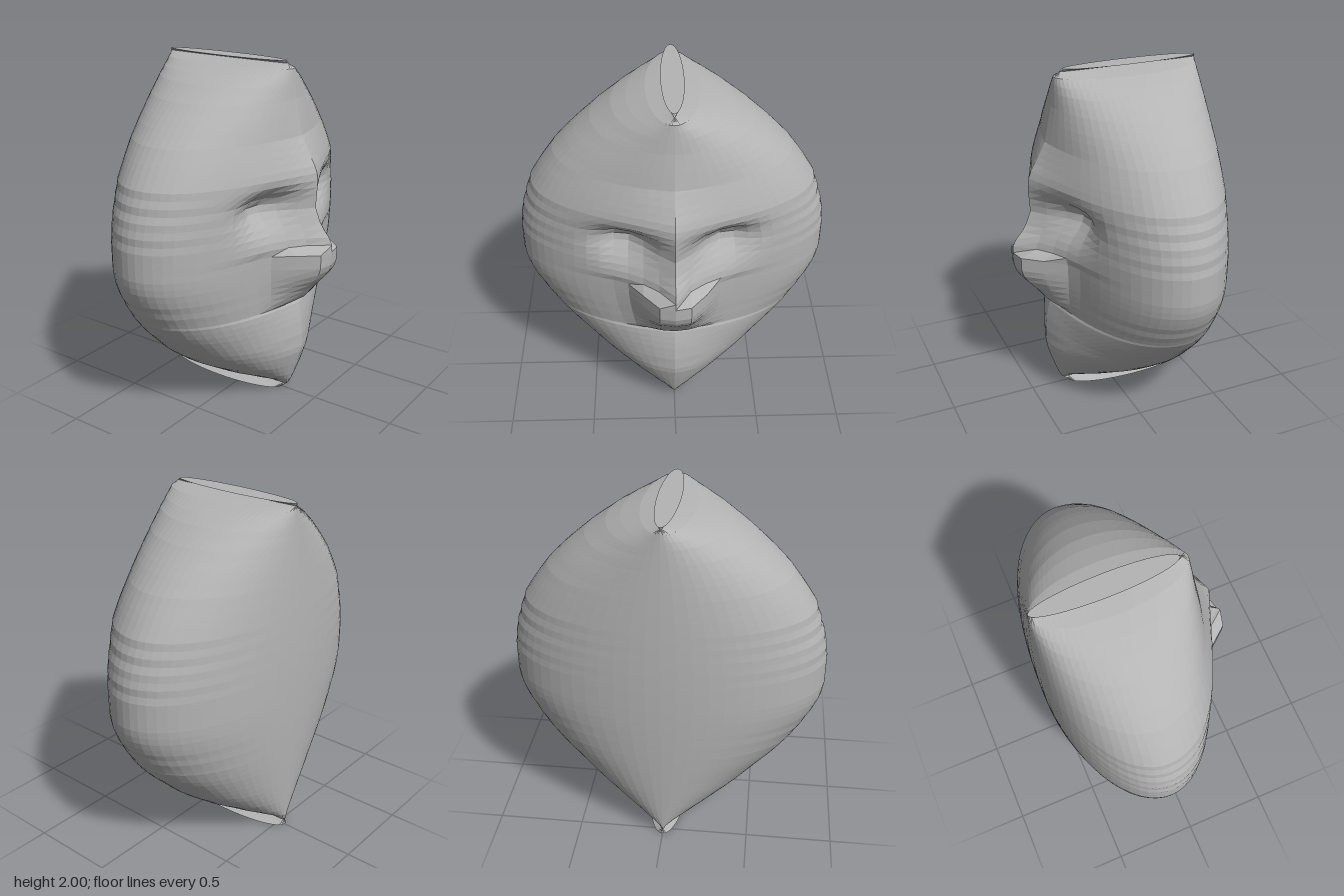
import * as THREE from 'three';

// Profiles as [height, value] pairs, from bottom to top
const WIDTH = [[0, 0.11], [0.03, 0.012], [0.05, 0.06], [0.1, 0.19], [0.2, 0.35], [0.3, 0.48], [0.4, 0.58], [0.5, 0.68],
  [0.6, 0.76], [0.7, 0.82], [0.8, 0.873], [0.9, 0.9], [1.08, 0.9], [1.2, 0.882], [1.3, 0.852], [1.4, 0.82],
  [1.5, 0.755], [1.6, 0.68], [1.7, 0.58], [1.8, 0.46], [1.9, 0.31], [1.96, 0.15], [1.985, 0.012], [2, 0.065]];
const FRONT = [[0, 0.26], [0.04, 0.31], [0.1, 0.335], [0.2, 0.37], [0.3, 0.4], [0.4, 0.4], [0.5, 0.39], [0.595, 0.37], [0.61, 0.36],
  [0.65, 0.42], [0.7, 0.45], [0.8, 0.54], [0.86, 0.58], [0.98, 0.585], [1.02, 0.58], [1.1, 0.51], [1.2, 0.47],
  [1.35, 0.48], [1.42, 0.47], [1.5, 0.42], [1.6, 0.37], [1.8, 0.33], [1.96, 0.31], [2, 0.26]];
// Broad swelling of brow, cheeks and chin
const SWELL = [[0, 0], [0.05, 0], [0.2, 0.06], [0.35, 0.09], [0.59, 0.065], [0.61, 0.045], [0.85, 0.07], [1, 0.09],
  [1.2, 0.12], [1.38, 0.17], [1.45, 0.14], [1.6, 0.06], [1.8, 0.02], [1.96, 0], [2, 0]];

function sample(table, y) {
  for (let i = 1; i < table.length; i++) {
    const [y0, a] = table[i - 1], [y1, b] = table[i];
    if (y <= y1) return a + (b - a) * (y - y0) / (y1 - y0);
  }
  return table[table.length - 1][1];
}

const SEGMENTS = 64;
const CENTRE_Z = -0.13;

// One point of the horizontal section at height y
function facePoint(y, t) {
  let w = sample(WIDTH, y);
  if ((y > 0.6 && y < 0.88) || (y > 1.1 && y < 1.4)) w += 0.005 * Math.sin(y * 78);
  const x = w * Math.sin(t), c = Math.cos(t), ax = Math.abs(x);
  if (c < 0) {
    const back = 0.545 + 0.043 * Math.sin(Math.PI * y / 2);
    return [x, y, CENTRE_Z + c * (back + CENTRE_Z)];
  }
  const front = sample(FRONT, y);
  const base = Math.min(front, 0.31);
  const swell = sample(SWELL, y);
  const nose = Math.max(0, front - base - swell);
  // Nose: sharp bridge above, flat tip below
  const noseShape = y > 1.0 ? Math.exp(-ax / 0.13) : Math.exp(-((Math.max(0, ax - 0.09) / 0.11) ** 2));
  const dy = y - 1.245;
  const socket = 0.12 * Math.exp(-(((ax - 0.27) / 0.16) ** 2) - (dy / (dy > 0 ? 0.075 : 0.13)) ** 2) * Math.min(1, ax / 0.1);
  const z = CENTRE_Z + c * (base - CENTRE_Z) + Math.min(1, c * 2.5) * (swell * Math.exp(-ax / 0.4) + nose * noseShape - socket);
  return [x, y, z];
}

function headGeometry() {
  const rows = [0, 0.03, 0.05];
  for (let y = 0.08; y < 1.95; y += 0.04) {
    if (Math.abs(y - 0.6) < 0.01) rows.push(0.595, 0.61);
    else rows.push(y);
  }
  rows.push(1.96, 1.985, 2);
  const pos = [], index = [];
  for (const y of rows) {
    for (let i = 0; i < SEGMENTS; i++) pos.push(...facePoint(y, i / SEGMENTS * Math.PI * 2));
  }
  for (let r = 0; r < rows.length - 1; r++) {
    for (let i = 0; i < SEGMENTS; i++) {
      const j = (i + 1) % SEGMENTS;
      const a = r * SEGMENTS + i, b = r * SEGMENTS + j;
      index.push(a, b, b + SEGMENTS, a, b + SEGMENTS, a + SEGMENTS);
    }
  }
  // Flat end caps
  const bottom = pos.length / 3, top = bottom + 1, last = (rows.length - 1) * SEGMENTS;
  pos.push(0, 0, CENTRE_Z, 0, 2, CENTRE_Z);
  for (let i = 0; i < SEGMENTS; i++) {
    const j = (i + 1) % SEGMENTS;
    index.push(bottom, j, i, top, last + i, last + j);
  }
  const geo = new THREE.BufferGeometry();
  geo.setAttribute('position', new THREE.Float32BufferAttribute(pos, 3));
  geo.setIndex(index);
  geo.computeVertexNormals();
  return geo;
}

export function createModel() {
  const group = new THREE.Group();
  group.name = 'headSculpture';
  const grey = new THREE.MeshStandardMaterial({ color: 0xb4b4b4, flatShading: true });
  grey.name = 'plainGrey';
  const head = new THREE.Mesh(headGeometry(), grey);
  head.name = 'head';
  group.add(head);
  return group;
}
